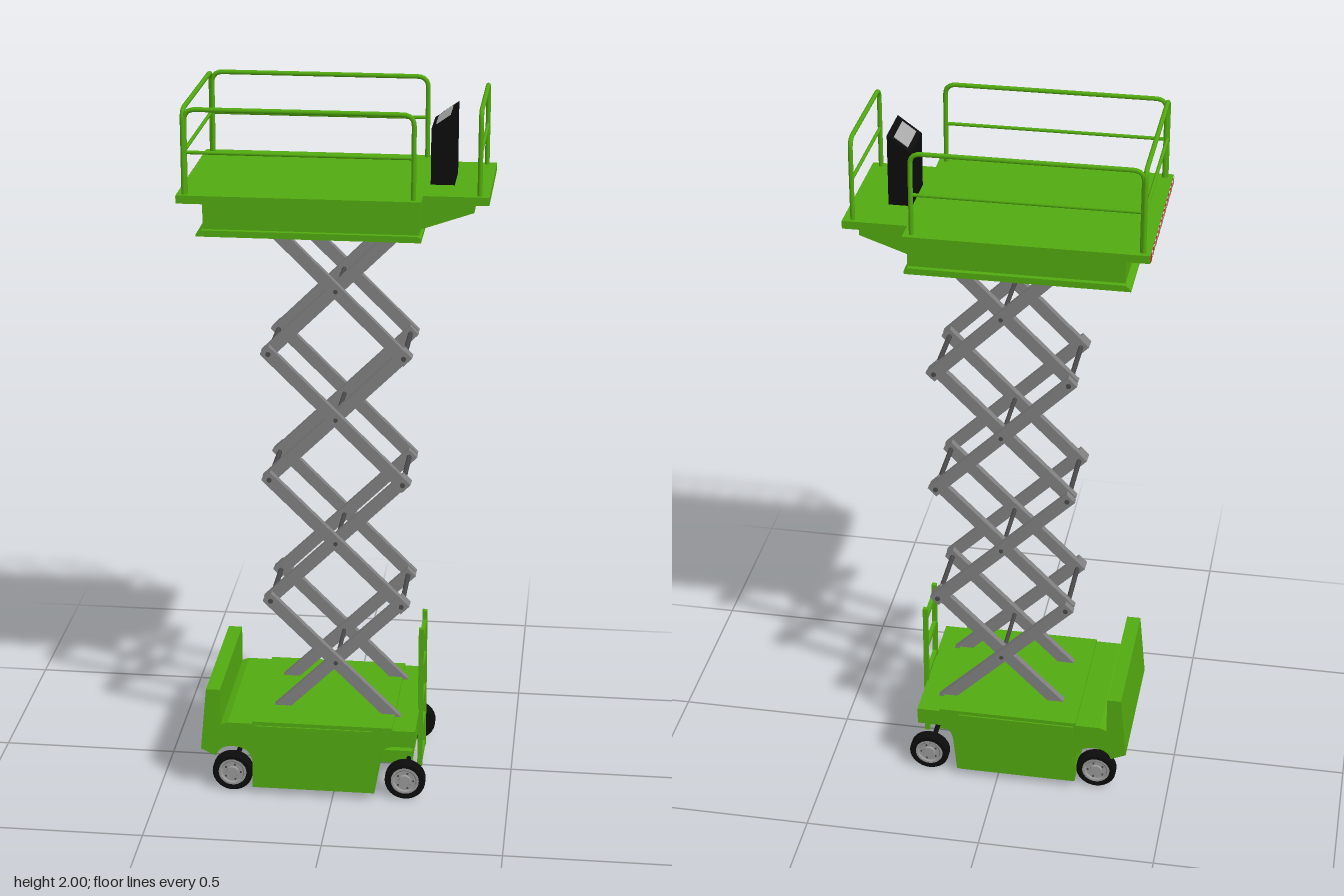
import * as THREE from 'three';
import { toCreasedNormals } from 'three/addons/utils/BufferGeometryUtils.js';

const mat = (color) => new THREE.MeshStandardMaterial({ color });
const GREEN = mat(0x52aa10), STEEL = mat(0x808080), DARK = mat(0x484848), BLACK = mat(0x0c0c0c),
  HUB = mat(0x999999), SCREEN = mat(0xaaaaaa), RED = mat(0xc02020), WHITE = mat(0xeeeeee);

function add(parent, name, geometry, material, x = 0, y = 0, z = 0) {
  const mesh = new THREE.Mesh(geometry, material);
  mesh.name = name;
  mesh.position.set(x, y, z);
  parent.add(mesh);
  return mesh;
}

// box given by its min and max corners
function box(parent, name, material, [x0, y0, z0], [x1, y1, z1]) {
  return add(parent, name, new THREE.BoxGeometry(x1 - x0, y1 - y0, z1 - z0), material,
    (x0 + x1) / 2, (y0 + y1) / 2, (z0 + z1) / 2);
}

// shape in x and y, extruded along z around a centre
function slab(parent, name, material, shape, depth, zc = 0) {
  const g = new THREE.ExtrudeGeometry(shape, { depth, bevelEnabled: false, curveSegments: 10 });
  return add(parent, name, g, material, 0, 0, zc - depth / 2);
}
const polygon = (pts) => new THREE.Shape(pts.map(([x, y]) => new THREE.Vector2(x, y)));

function rod(parent, name, material, r, length, x, y, z) {
  return add(parent, name, new THREE.CylinderGeometry(r, r, length, 10).rotateX(Math.PI / 2), material, x, y, z);
}

// rounded hoop with a middle rail, running along its own x axis
function guardRail(parent, name, halfLength) {
  const group = new THREE.Group();
  group.name = name;
  const r = 0.03, top = 1.994, foot = 1.765, h = halfLength;
  const v = (x, y) => new THREE.Vector3(x, y, 0);
  const path = new THREE.CurvePath();
  path.add(new THREE.LineCurve3(v(-h, foot), v(-h, top - r)));
  path.add(new THREE.QuadraticBezierCurve3(v(-h, top - r), v(-h, top), v(-h + r, top)));
  path.add(new THREE.LineCurve3(v(-h + r, top), v(h - r, top)));
  path.add(new THREE.QuadraticBezierCurve3(v(h - r, top), v(h, top), v(h, top - r)));
  path.add(new THREE.LineCurve3(v(h, top - r), v(h, foot)));
  add(group, 'hoop', new THREE.TubeGeometry(path, 100, 0.0065, 8), GREEN);
  add(group, 'middleRail', new THREE.CylinderGeometry(0.005, 0.005, 2 * h, 8).rotateZ(Math.PI / 2), GREEN, 0, 1.88, 0);
  parent.add(group);
  return group;
}

function wheel(parent, x, z, side) {
  const group = new THREE.Group();
  group.name = 'wheel';
  const lathe = (pts) => toCreasedNormals(
    new THREE.LatheGeometry(pts.map(([r, y]) => new THREE.Vector2(r, y)), 32), 0.6);
  add(group, 'tyre', lathe([[0, -0.016], [0.052, -0.016], [0.058, -0.011], [0.058, 0.011],
    [0.052, 0.016], [0.041, 0.016], [0.039, 0.008], [0, 0.008]]), BLACK);
  add(group, 'hub', lathe([[0.04, 0.008], [0.04, 0.015], [0.034, 0.015], [0.03, 0.011],
    [0.018, 0.011], [0.016, 0.016], [0, 0.016]]), HUB);
  for (let i = 0; i < 5; i++) {
    const a = i * Math.PI * 2 / 5;
    add(group, 'wheelBolt', new THREE.CylinderGeometry(0.003, 0.003, 0.004, 6), DARK,
      0.024 * Math.cos(a), 0.012, 0.024 * Math.sin(a));
  }
  group.rotation.x = side * Math.PI / 2;
  group.position.set(x, 0.058, z);
  parent.add(group);
}

function createBase() {
  const base = new THREE.Group();
  base.name = 'base';
  base.position.z = 0.0125;

  // body with wheel arches and a raised end panel
  const s = new THREE.Shape();
  s.moveTo(-0.23, 0.02);
  s.lineTo(0.12, 0.02);
  s.lineTo(0.13, 0.12);
  s.quadraticCurveTo(0.135, 0.172, 0.18, 0.172);
  s.lineTo(0.235, 0.172);
  s.lineTo(0.235, 0.222);
  s.lineTo(-0.3, 0.222);
  s.lineTo(-0.32, 0.215);
  s.lineTo(-0.32, 0.324);
  s.lineTo(-0.36, 0.324);
  s.lineTo(-0.378, 0.135);
  s.lineTo(-0.335, 0.115);
  s.quadraticCurveTo(-0.325, 0.148, -0.285, 0.148);
  s.quadraticCurveTo(-0.235, 0.148, -0.23, 0.1);
  slab(base, 'chassis', GREEN, s, 0.426);
  box(base, 'topPlate', GREEN, [-0.23, 0.22, -0.213], [0.17, 0.229, 0.213]);
  for (const side of [-1, 1])
    add(base, 'sideDoor', new THREE.BoxGeometry(0.335, 0.195, 0.006), GREEN, -0.055, 0.12, side * 0.2145);

  // running gear
  for (const x of [-0.29, 0.206]) {
    rod(base, 'axle', BLACK, 0.007, 0.36, x, 0.058, 0);
    for (const side of [-1, 1]) wheel(base, x, side * 0.186, side);
  }
  box(base, 'axleHousing', GREEN, [0.12, 0.04, -0.06], [0.215, 0.08, 0.06]);

  // ladder
  for (const side of [-1, 1])
    add(base, 'ladderRail', new THREE.BoxGeometry(0.014, 0.435, 0.014), GREEN, 0.238, 0.2575, side * 0.064);
  for (const y of [0.05, 0.145, 0.235, 0.34, 0.44])
    add(base, 'ladderRung', new THREE.BoxGeometry(0.012, 0.014, 0.12), GREEN, 0.238, y, 0);
  return base;
}

function createScissorLift() {
  const lift = new THREE.Group();
  lift.name = 'scissorLift';
  lift.position.z = 0.005;
  const halfX = 0.185, halfY = 0.1835;
  const length = 2 * Math.hypot(halfX, halfY) + 0.03, angle = Math.atan2(halfY, halfX);
  for (let i = 0; i < 4; i++) {
    const y = 0.383 + i * 2 * halfY;
    for (const side of [-1, 1])
      for (const lean of [-1, 1]) {
        const z = side * (lean < 0 ? 0.122 : 0.098);
        add(lift, 'scissorArm', new THREE.BoxGeometry(length, 0.034, 0.02), STEEL, 0, y, z)
          .rotation.z = lean * angle;
      }
    rod(lift, 'centrePin', DARK, 0.006, 0.272, 0, y, 0);
    if (i < 3)
      for (const x of [-halfX, halfX]) rod(lift, 'endPin', DARK, 0.007, 0.272, x, y + halfY, 0);
  }
  return lift;
}

function createPlatform() {
  const platform = new THREE.Group();
  platform.name = 'platform';

  // deck with a narrower extension, and the frame below
  const deck = slab(platform, 'deck', GREEN, polygon([[-0.408, -0.252], [0.236, -0.252], [0.236, -0.187],
    [0.41, -0.187], [0.41, 0.187], [0.236, 0.187], [0.236, 0.252], [-0.408, 0.252]]), 0.022);
  deck.rotation.x = -Math.PI / 2;
  deck.position.set(0, 1.747, 0);
  box(platform, 'underframe', GREEN, [-0.343, 1.668, -0.223], [0.23, 1.748, 0.223]);
  slab(platform, 'bottomFlange', GREEN, polygon([[-0.36, 1.655], [0.236, 1.655], [0.236, 1.665],
    [0.228, 1.672], [-0.345, 1.672], [-0.36, 1.66]]), 0.475);
  slab(platform, 'extensionSupport', GREEN, polygon([[0.225, 1.674], [0.235, 1.674], [0.37, 1.721],
    [0.37, 1.748], [0.225, 1.748]]), 0.33);

  // guard rails
  for (const side of [-1, 1])
    guardRail(platform, 'sideGuardRail', 0.3).position.set(-0.085, 0, side * 0.231);
  const rear = guardRail(platform, 'rearGuardRail', 0.234);
  rear.rotation.y = Math.PI / 2;
  rear.position.x = -0.389;
  const front = guardRail(platform, 'extensionGuardRail', 0.17);
  front.rotation.y = Math.PI / 2;
  front.position.x = 0.384;

  // control box with a sloping panel
  slab(platform, 'controlBox', BLACK, polygon([[0.247, 1.768], [0.311, 1.768], [0.311, 1.966], [0.247, 1.92]]), 0.136);
  const panel = add(platform, 'controlPanel', new THREE.BoxGeometry(0.046, 0.003, 0.104), SCREEN, 0.2775, 1.9425, 0);
  panel.rotation.z = Math.atan2(0.046, 0.064);

  // slanted warning stripes along the rear edge
  const count = 30, step = 0.49 / count;
  for (let i = 0; i < count; i++) {
    const stripe = slab(platform, 'warningStripe', i % 2 ? WHITE : RED,
      polygon([[0, 0], [step, 0], [step + 0.008, 0.018], [0.008, 0.018]]), 0.002);
    stripe.rotation.y = -Math.PI / 2;
    stripe.position.set(-0.408, 1.749, -0.249 + i * step);
  }
  return platform;
}

export function createModel() {
  const model = new THREE.Group();
  model.name = 'scissorLiftPlatform';
  model.add(createBase(), createScissorLift(), createPlatform());
  return model;
}
